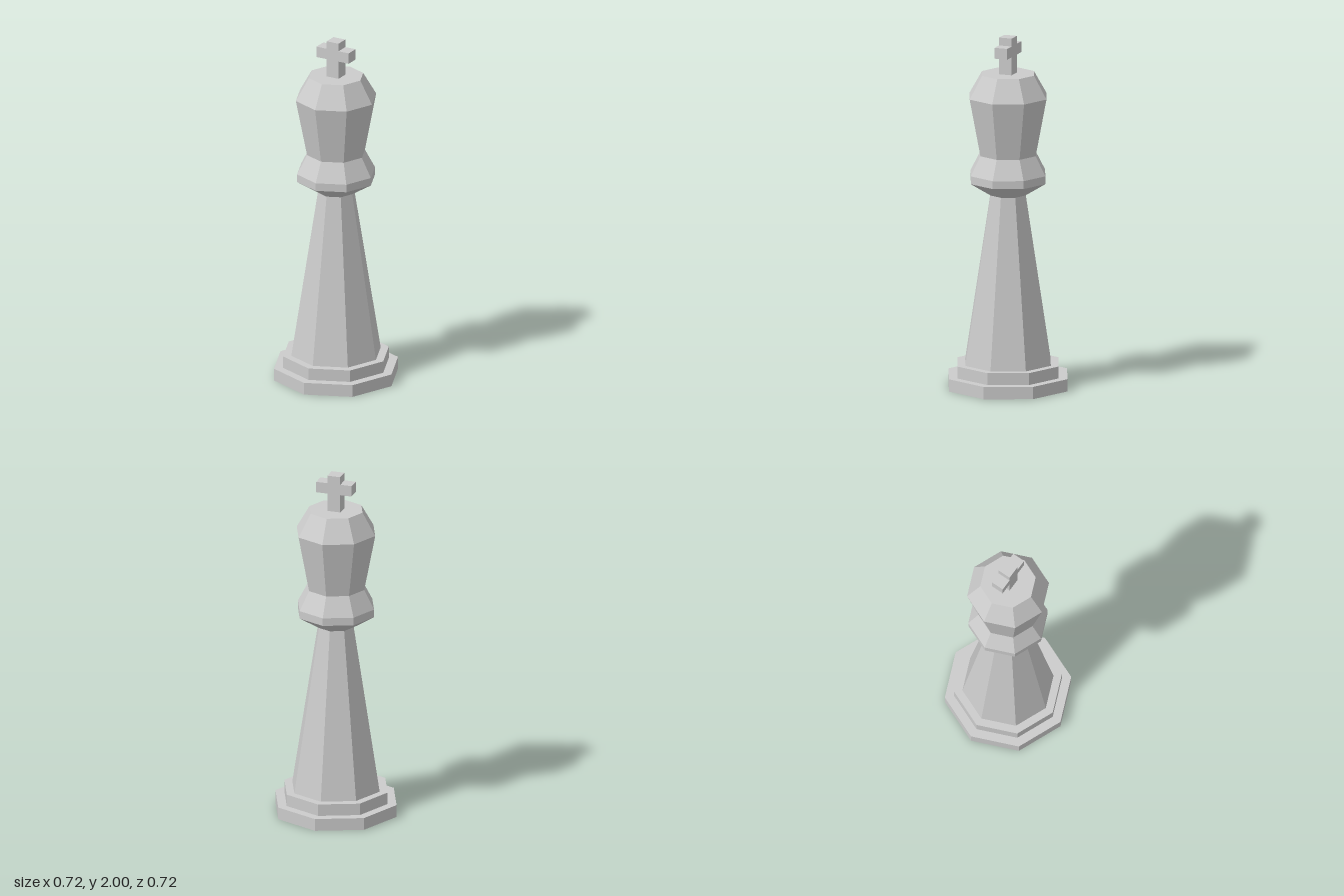
import * as THREE from 'three';

const SIDES = 8;

export function createModel() {
  const model = new THREE.Group();
  const material = new THREE.MeshStandardMaterial({ color: 0xcccccc, flatShading: true });

  const add = (name, geometry) => {
    const mesh = new THREE.Mesh(geometry, material);
    mesh.name = name;
    model.add(mesh);
    return mesh;
  };

  // Octagonal turning from [radius, height] pairs, listed bottom to top
  const turned = (name, profile) =>
    add(name, new THREE.LatheGeometry(profile.map(([r, y]) => new THREE.Vector2(r, y)), SIDES));

  // Two-step plinth, closed underneath
  turned('base', [[0, 0], [0.358, 0], [0.358, 0.07], [0.305, 0.07], [0.305, 0.138], [0.258, 0.138]]);

  // Tapered body
  turned('stem', [[0.258, 0.138], [0.105, 1.1]]);

  // Flared collar
  turned('collar', [[0.105, 1.1], [0.225, 1.175], [0.225, 1.22], [0.167, 1.33]]);

  // Widening head with a bevelled, flat crown
  turned('head', [[0.167, 1.33], [0.232, 1.66], [0.157, 1.79], [0, 1.79]]);

  // Cross finial, extruded from one half outline mirrored in x
  const half = [[0.038, 1.79], [0.038, 1.893], [0.104, 1.893], [0.104, 1.955], [0.038, 1.955], [0.038, 2]];
  const mirrored = half.map(([x, y]) => [-x, y]).reverse();
  const outline = [...half, ...mirrored].map(([x, y]) => new THREE.Vector2(x, y));
  const depth = 0.075;
  const cross = new THREE.ExtrudeGeometry(new THREE.Shape(outline), { depth, bevelEnabled: false });
  cross.translate(0, 0, -depth / 2);
  add('cross', cross);

  return model;
}
